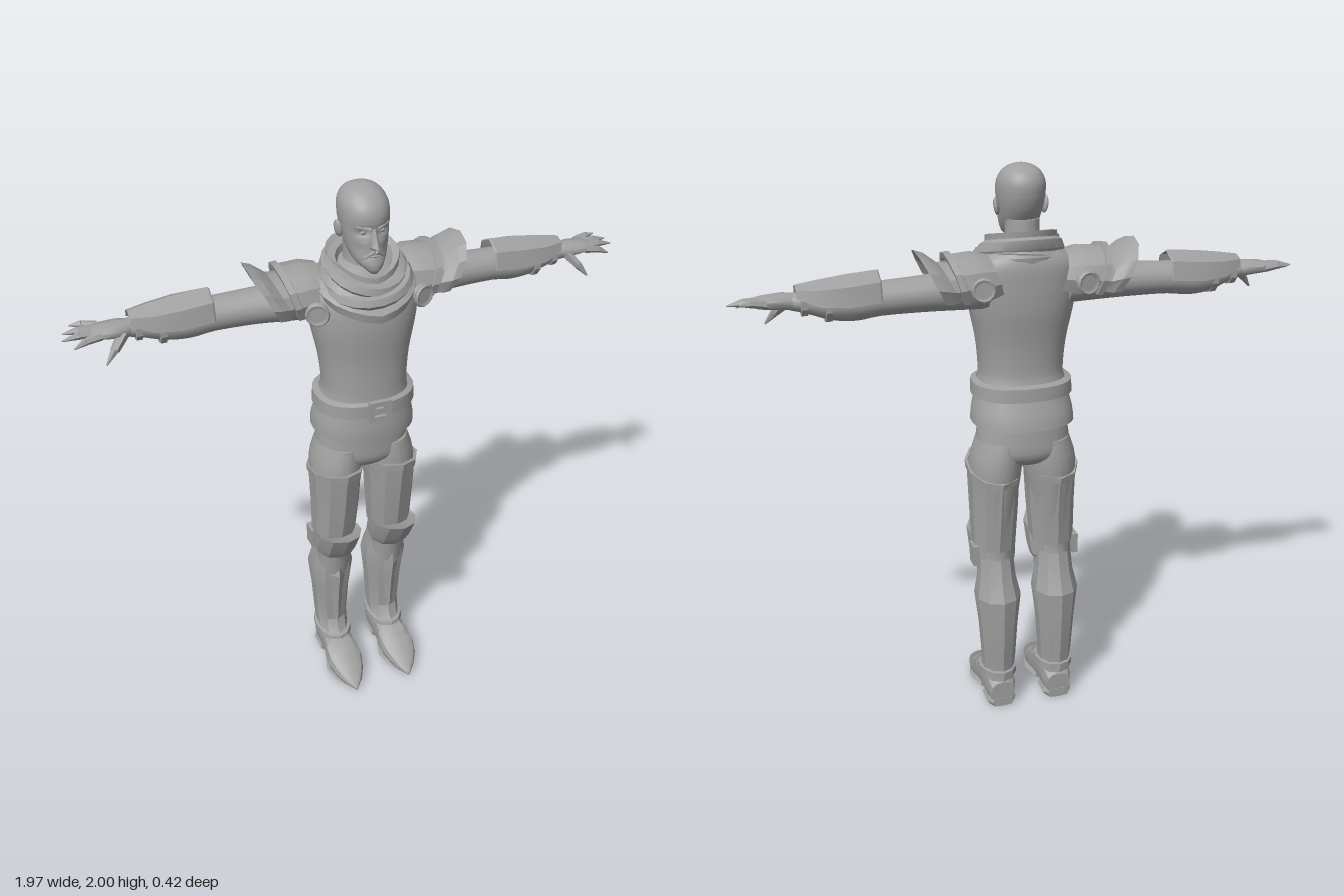
import * as THREE from 'three';
import { toCreasedNormals } from 'three/addons/utils/BufferGeometryUtils.js';

// Smooth a list of cross-section rows with Catmull-Rom steps
function refine(rows, k = 4) {
  const out = [];
  for (let i = 0; i < rows.length - 1; i++) {
    const a = rows[Math.max(0, i - 1)], b = rows[i], c = rows[i + 1], d = rows[Math.min(rows.length - 1, i + 2)];
    for (let s = 0; s < k; s++) {
      const t = s / k;
      out.push(b.map((v, m) => v + 0.5 * t * (c[m] - a[m] + t * (2 * a[m] - 5 * v + 4 * c[m] - d[m] + t * (3 * (v - c[m]) + d[m] - a[m])))));
    }
  }
  out.push(rows[rows.length - 1]);
  return out;
}

// Rounded sections along an axis. Row: [position, centre, half width, top, bottom];
// for axis y the top/bottom pair means front z / back z, otherwise it is y.
function loft(axis, rows, { n = 16, from = 0, arc = Math.PI * 2, p = 1, cap = true } = {}) {
  const pos = [], idx = [];
  const put = (v, u, w) => pos.push(...(axis === 'y' ? [u, v, w] : axis === 'x' ? [v, w, u] : [u, w, v]));
  const pow = (s) => Math.sign(s) * Math.pow(Math.abs(s), p);
  const dir = axis === 'z' ? -1 : 1;
  for (const [v, c, h, top, bot] of rows) {
    for (let j = 0; j <= n; j++) {
      const t = from + arc * j / n;
      put(v, c + dir * h * pow(Math.sin(t)), (top + bot) / 2 + (top - bot) / 2 * pow(Math.cos(t)));
    }
  }
  const m = n + 1;
  for (let i = 0; i < rows.length - 1; i++) for (let j = 0; j < n; j++) {
    const a = i * m + j, b = a + 1, d = a + m, c = d + 1;
    idx.push(a, b, c, a, c, d);
  }
  if (cap && arc > 6.28) [0, rows.length - 1].forEach((i) => {
    const [v, c, , top, bot] = rows[i], k = pos.length / 3;
    put(v, c, (top + bot) / 2);
    for (let j = i * m; j < i * m + n; j++) idx.push(k, ...(i ? [j, j + 1] : [j + 1, j]));
  });
  const g = new THREE.BufferGeometry();
  g.setAttribute('position', new THREE.Float32BufferAttribute(pos, 3));
  g.setIndex(idx);
  return g;
}

// Move vertices by a rule
function warp(g, rule) {
  const a = g.attributes.position, v = new THREE.Vector3();
  for (let i = 0; i < a.count; i++) { rule(v.fromBufferAttribute(a, i)); a.setXYZ(i, v.x, v.y, v.z); }
  return g;
}

// Mirror across x, keeping faces outward
function mirror(g) {
  const m = g.index ? g.toNonIndexed() : g.clone(), a = m.attributes.position, v = [0, 1, 2].map(() => new THREE.Vector3());
  for (let i = 0; i < a.count; i += 3) {
    v.forEach((q, k) => q.fromBufferAttribute(a, i + k));
    [v[0], v[2], v[1]].forEach((q, k) => a.setXYZ(i + k, -q.x, q.y, q.z));
  }
  return m;
}

// Tapered rod between two points
function rod(a, b, r0, r1, n = 6) {
  const A = new THREE.Vector3(...a), d = new THREE.Vector3(...b).sub(A), len = d.length();
  const g = new THREE.CylinderGeometry(r1, r0, len, n).translate(0, len / 2, 0);
  g.applyQuaternion(new THREE.Quaternion().setFromUnitVectors(new THREE.Vector3(0, 1, 0), d.normalize()));
  return g.translate(...a);
}

export function createModel() {
  const model = new THREE.Group();
  model.name = 'armouredMan';
  const grey = new THREE.MeshStandardMaterial({ color: 0xa0a0a0, side: THREE.DoubleSide });
  grey.name = 'plainGrey';
  const add = (name, g, crease = 0.9) => {
    const mesh = new THREE.Mesh(toCreasedNormals(g, crease), grey);
    mesh.name = name;
    model.add(mesh);
  };
  const pair = (name, g, crease) => { add(name + 'Left', g, crease); add(name + 'Right', mirror(g), crease); };

  // Head with eye sockets and cheek hollows
  const head = loft('y', refine([
    [1.745, 0, .028, .085, .02], [1.765, 0, .05, .095, -.02], [1.8, 0, .065, .094, -.06], [1.84, 0, .073, .092, -.09],
    [1.875, 0, .078, .088, -.106], [1.91, 0, .081, .091, -.114], [1.945, 0, .078, .08, -.113],
    [1.975, 0, .062, .052, -.094], [1.992, 0, .036, .02, -.062], [2, 0, .004, -.015, -.026]]), { n: 36, p: .92 });
  warp(head, (v) => {
    if (v.z < .03) return;
    v.z -= .014 * Math.exp(-(((Math.abs(v.x) - .033) / .018) ** 2) - ((v.y - 1.868) / .014) ** 2);
    v.z -= .007 * Math.exp(-(((Math.abs(v.x) - .045) / .015) ** 2) - ((v.y - 1.815) / .02) ** 2);
  });
  add('head', head, 1.2);
  add('neck', loft('y', [[1.64, 0, .075, .04, -.11], [1.72, 0, .06, .03, -.095], [1.82, 0, .058, .03, -.09]]));
  add('nose', loft('y', [[1.816, 0, .013, .104, .07], [1.826, 0, .019, .121, .07], [1.845, 0, .012, .112, .07], [1.882, 0, .008, .094, .07]], { n: 8 }));
  add('beard', loft('y', refine([[1.732, 0, .014, .098, .05], [1.75, 0, .034, .107, .02], [1.772, 0, .046, .104, .01], [1.79, 0, .04, .098, .02]], 3), { n: 16 }));
  add('lips', new THREE.SphereGeometry(.018, 10, 6).scale(1, .3, .5).translate(0, 1.794, .095));
  pair('moustache', rod([.002, 1.809, .098], [.034, 1.785, .083], .009, .005));
  pair('brow', rod([.012, 1.882, .091], [.055, 1.89, .066], .007, .004));
  pair('eye', new THREE.SphereGeometry(.011, 10, 8).scale(1, .6, .6).translate(.032, 1.867, .071));
  pair('ear', new THREE.SphereGeometry(.03, 10, 8).scale(.32, 1, .65).rotateZ(-.15).rotateY(-.3).translate(.084, 1.858, -.015));

  // Scarf: folded collar hanging to a point in front, higher behind
  const scarf = loft('y', [
    [1.62, 0, .12, .1, -.12], [1.645, 0, .16, .155, -.145], [1.675, 0, .172, .16, -.148], [1.695, 0, .15, .135, -.138],
    [1.705, 0, .155, .145, -.144], [1.735, 0, .14, .125, -.146], [1.745, 0, .122, .1, -.134], [1.765, 0, .122, .098, -.136],
    [1.755, 0, .1, .08, -.115], [1.68, 0, .07, .04, -.1]], { n: 20, cap: false });
  add('scarf', warp(scarf, (v) => {
    v.y -= .22 * v.z + (v.z > 0 ? .03 * (1 - Math.abs(v.x) / .18) * Math.min(1, v.z / .08) : 0);
  }), .5);
  [[.135, 1.685, .22, .1], [.118, 1.722, .34, -.12]].forEach(([r, y, tilt, roll], i) => add('scarfFold' + (i + 1),
    new THREE.TorusGeometry(r, .024, 6, 20).rotateX(Math.PI / 2).rotateX(tilt).rotateZ(roll).translate(0, y, .01), .6));

  // Tunic, belt and buckle
  add('tunic', loft('y', refine([
    [1.11, 0, .182, .125, -.185], [1.15, 0, .179, .125, -.176], [1.21, 0, .165, .12, -.155], [1.26, 0, .154, .115, -.14],
    [1.3, 0, .149, .112, -.132], [1.4, 0, .158, .108, -.135], [1.5, 0, .178, .112, -.148], [1.56, 0, .188, .11, -.152],
    [1.62, 0, .192, .1, -.152], [1.68, 0, .18, .07, -.148], [1.72, 0, .12, .04, -.13], [1.74, 0, .06, .01, -.1]], 3), { n: 32, p: .85 }));
  add('belt', loft('y', [[1.205, 0, .166, .118, -.15], [1.21, 0, .179, .129, -.164], [1.257, 0, .177, .129, -.162], [1.264, 0, .155, .115, -.14]],
    { n: 28, p: .85, cap: false }), .6);
  const frame = new THREE.Shape([[-.04, -.038], [.04, -.038], [.04, .038], [-.04, .038]].map((q) => new THREE.Vector2(...q)));
  frame.holes.push(new THREE.Path([[-.022, -.02], [-.022, .02], [.022, .02], [.022, -.02]].map((q) => new THREE.Vector2(...q))));
  add('buckleFrame', new THREE.ExtrudeGeometry(frame, { depth: .016, bevelEnabled: false }).translate(.005, 1.235, .125), .3);
  add('buckleStud', new THREE.BoxGeometry(.026, .022, .02).translate(.005, 1.235, .13), .3);

  // Trousers
  add('hips', loft('y', refine([[.965, 0, .09, .06, -.13], [1.0, 0, .165, .086, -.158], [1.06, 0, .165, .088, -.158], [1.14, 0, .152, .09, -.15]], 3), { n: 24, p: .85 }));
  pair('trouserLeg', loft('y', refine([
    [.45, .11, .065, .015, -.14], [.55, .11, .066, .03, -.13], [.64, .11, .07, .05, -.12], [.8, .105, .08, .078, -.14],
    [.95, .1, .094, .092, -.16], [1.05, .086, .08, .082, -.15]], 3), { n: 20 }));

  // Thigh plates with a raised rim, higher in front
  const thigh = loft('y', [
    [.63, .111, .08, .052, -.125], [.78, .107, .087, .084, -.138], [.915, .106, .092, .108, -.155],
    [.917, .106, .097, .114, -.163], [.942, .106, .099, .117, -.166], [.942, .106, .09, .1, -.15]], { n: 10, cap: false });
  pair('thighPlate', warp(thigh, (v) => { v.y += (v.z + .02) * .2 * (v.y - .63) / .31; }), .35);

  // Knee guards: deep in front, narrowing to a band behind
  const knee = loft('y', [
    [.505, .11, .066, .02, -.1], [.54, .11, .078, .045, -.11], [.6, .11, .084, .078, -.115],
    [.69, .11, .086, .13, -.118], [.675, .11, .074, .06, -.1]], { n: 10, cap: false });
  pair('kneeGuard', warp(knee, (v) => { v.y = .6 + (v.y - .6) * (.33 + .67 * (v.z + .12) / .25); }), .3);
  pair('kneeBuckle', new THREE.BoxGeometry(.022, .075, .06).translate(.188, .61, -.06), .3);

  // Greaves and ankle bands
  pair('greave', loft('y', [
    [.11, .11, .066, .034, -.165], [.15, .11, .06, 0, -.163], [.19, .11, .062, -.016, -.168], [.33, .11, .071, 0, -.18],
    [.45, .11, .085, .016, -.185], [.52, .11, .07, .012, -.155], [.6, .11, .064, .008, -.135]], { n: 10, cap: false }), .35);
  pair('greaveRidge', loft('y', [[.2, .11, .012, -.002, -.03], [.35, .11, .024, .012, -.03], [.44, .11, .034, .028, -.03], [.51, .11, .006, .018, -.02]], { n: 4 }), .3);
  pair('ankleBand', warp(loft('y', [[.115, .11, .06, .01, -.16], [.118, .11, .07, .03, -.174], [.142, .11, .069, .024, -.174], [.146, .11, .058, 0, -.16]],
    { n: 12, cap: false }), (v) => { v.y -= .1 * (v.z + .07); }), .4);

  // Pointed armoured shoes with stepped toe plates
  pair('shoe', loft('z', [
    [-.155, .11, .045, .1, .015], [-.12, .11, .056, .14, .012], [-.04, .11, .058, .15, .012], [.03, .111, .062, .118, .012],
    [.03, .111, .067, .125, .01], [.08, .112, .066, .095, .01], [.08, .112, .068, .104, .008], [.125, .112, .056, .074, .01],
    [.125, .112, .058, .08, .008], [.17, .111, .034, .045, .008], [.205, .11, .004, .018, .008]], { n: 12, p: .75 }), .45);
  pair('sole', loft('z', [[-.01, .11, .05, .022, 0], [.06, .112, .07, .022, 0], [.12, .112, .058, .022, 0], [.2, .11, .005, .018, .004]], { n: 8, p: .5 }), .4);
  pair('heel', loft('z', [[-.157, .11, .04, .035, 0], [-.13, .11, .056, .035, 0], [-.06, .11, .055, .03, 0]], { n: 8, p: .5 }), .4);

  // Arms
  pair('arm', loft('x', refine([
    [.14, -.07, .08, 1.69, 1.53], [.25, -.075, .075, 1.67, 1.535], [.36, -.085, .068, 1.66, 1.54], [.5, -.09, .064, 1.653, 1.54],
    [.58, -.09, .064, 1.652, 1.53], [.66, -.09, .058, 1.648, 1.538], [.74, -.086, .042, 1.637, 1.565], [.79, -.083, .034, 1.63, 1.578]], 3), { n: 18 }));

  // Shoulder plates: domed shell, then a flared outer rim, both cut back below
  const over = { n: 8, from: -2.15, arc: 4.3 };
  const slant = (k) => (v) => { v.x -= k * (1.73 - v.y); };
  pair('shoulderPlate', warp(loft('x', [
    [.14, -.075, .1, 1.715, 1.56], [.19, -.077, .116, 1.728, 1.54], [.26, -.078, .12, 1.722, 1.54],
    [.262, -.078, .126, 1.734, 1.53], [.285, -.078, .127, 1.73, 1.53], [.285, -.078, .11, 1.71, 1.55]], over), slant(.3)), .5);
  pair('shoulderRim', warp(loft('x', [
    [.25, -.08, .105, 1.695, 1.56], [.32, -.08, .112, 1.698, 1.55], [.35, -.08, .128, 1.735, 1.535],
    [.375, -.08, .13, 1.745, 1.535], [.34, -.08, .108, 1.69, 1.555]], over), slant(.5)), .4);
  [[.185, 1.605, .058, .35, 'front'], [.178, 1.625, -.196, Math.PI - .15, 'back']].forEach(([x, y, z, turn, side]) => {
    pair(side + 'ShoulderDisc', new THREE.CylinderGeometry(.034, .038, .022, 12).rotateX(Math.PI / 2).rotateY(turn).translate(x, y, z), .5);
    pair(side + 'ShoulderDiscRim', new THREE.TorusGeometry(.034, .008, 5, 12).rotateY(turn).translate(x + .008 * Math.sin(turn), y, z + .008 * Math.cos(turn)), .5);
  });

  // Forearm plates, ridged along the top, with wrist straps
  pair('forearmPlate', loft('x', [
    [.5, -.09, .068, 1.688, 1.55], [.505, -.09, .072, 1.692, 1.545], [.61, -.092, .08, 1.684, 1.54], [.7, -.09, .068, 1.672, 1.555],
    [.77, -.086, .04, 1.66, 1.6]], { n: 4, from: -1.85, arc: 3.7 }), .3);
  [[.67, .062, 1.655, 1.53], [.745, .048, 1.645, 1.555]].forEach(([x, h, t, b], i) => pair('wristStrap' + (i + 1),
    loft('x', [[x - .012, -.087, h - .008, t - .008, b + .008], [x - .01, -.087, h, t, b], [x + .01, -.087, h, t, b], [x + .012, -.087, h - .01, t - .01, b + .01]], { n: 10 }), .5));

  // Gloved hands with pointed fingers
  pair('palm', loft('x', [[.765, -.082, .034, 1.632, 1.575], [.81, -.08, .046, 1.636, 1.58], [.87, -.083, .048, 1.63, 1.588], [.895, -.085, .042, 1.622, 1.594]], { n: 10 }));
  [[-.046, .955, 1.585, -.035], [-.072, .985, 1.602, -.07], [-.098, .977, 1.61, -.1], [-.122, .95, 1.617, -.138]].forEach(([z, x, y, tz], i) => {
    const mid = [(.875 + x) / 2, (1.612 + y) / 2 + .004, (z + tz) / 2];
    pair('finger' + (i + 1), rod([.865, 1.61, z], mid, .015, .012));
    pair('fingerTip' + (i + 1), rod(mid, [x, y, tz], .013, .002));
  });
  pair('thumb', rod([.795, 1.6, -.055], [.832, 1.56, -.028], .02, .015));
  pair('thumbTip', rod([.83, 1.563, -.03], [.865, 1.52, -.015], .015, .003));

  return model;
}
